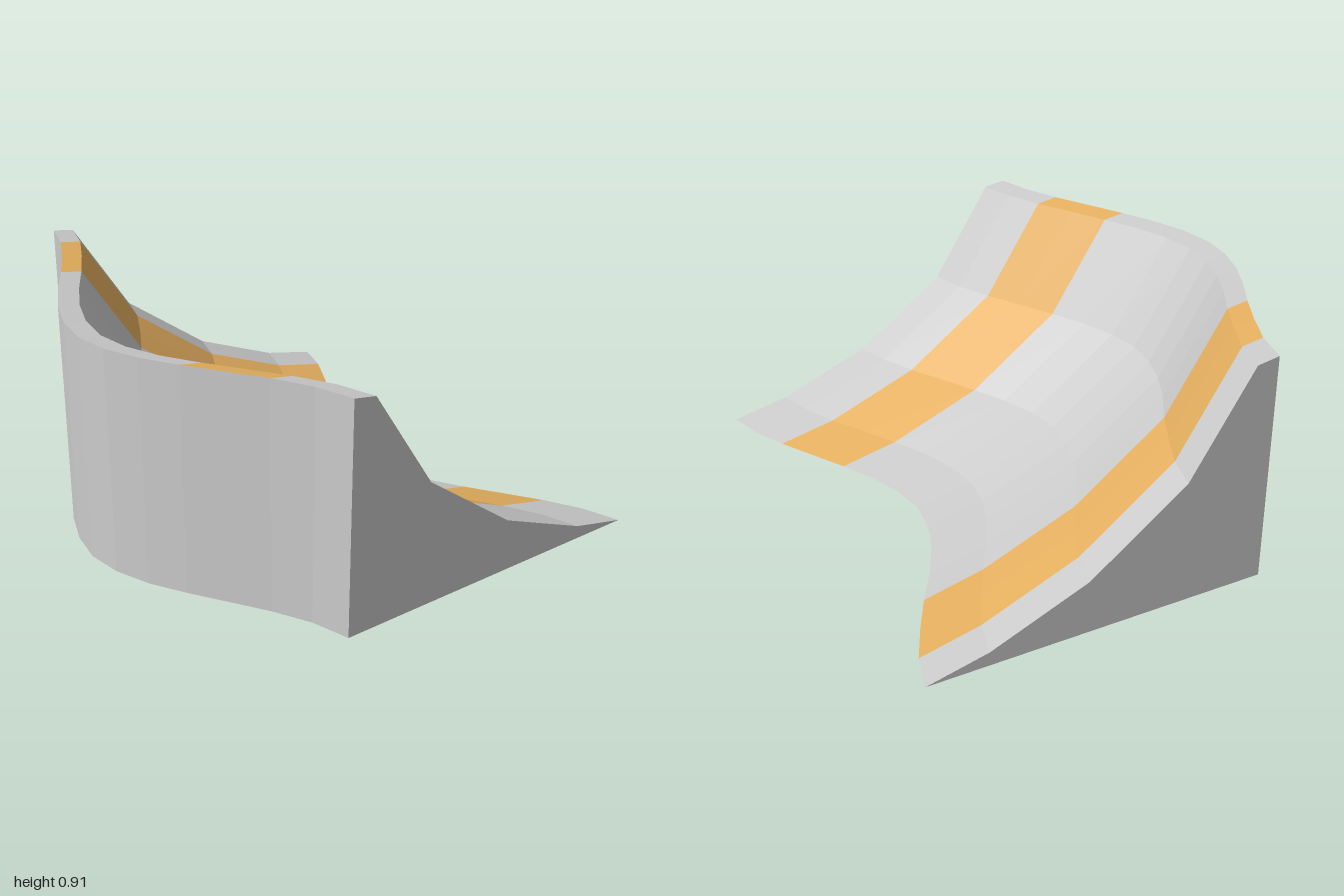
import * as THREE from 'three';

// Ramp section: [distance behind the front wall, height]
const wall = [[0, 0], [0, 0.88]];
const base = [[1.317, 0], [0, 0]];
const lip = [[0, 0.88], [0.087, 0.865]];
const slope = [[0.087, 0.865], [0.335, 0.482], [0.71, 0.207], [1.085, 0.053], [1.317, 0]];

// Sweep stations from left edge to right edge, and the front wall's z at each
const stationX = [-1, -0.855, -0.707, -0.56, -0.414, -0.268, -0.126, 0.016, 0.157, 0.298, 0.437, 0.576, 0.716, 0.857, 1];
const stationZ = [0.445, 0.487, 0.559, 0.639, 0.727, 0.802, 0.852, 0.872, 0.852, 0.8, 0.725, 0.641, 0.557, 0.487, 0.445];

// Strips carrying the coloured bands
const bandStrips = [[1, 3], [10, 12]];

// The section slides back and rises slightly towards both ends
function place(i, [d, y]) {
  const z = stationZ[i];
  return [stationX[i], y + 0.027 * (0.872 - z) / 0.427, z - d];
}

function sweep(out, line, from, to) {
  for (let i = from; i < to; i++) {
    for (let k = 0; k < line.length - 1; k++) {
      const a = place(i, line[k]), b = place(i + 1, line[k]);
      const c = place(i + 1, line[k + 1]), d = place(i, line[k + 1]);
      out.push(...a, ...b, ...c, ...a, ...c, ...d);
    }
  }
}

// End face as a fan from the lower front corner
function cap(out, i, flip) {
  const line = [...lip, ...slope.slice(1)];
  for (let k = 0; k < line.length - 1; k++) {
    const tri = [place(i, [0, 0]), place(i, line[k]), place(i, line[k + 1])];
    if (flip) tri.reverse();
    out.push(...tri.flat());
  }
}

function makeMesh(name, positions, color) {
  const geometry = new THREE.BufferGeometry();
  geometry.setAttribute('position', new THREE.Float32BufferAttribute(positions, 3));
  geometry.computeVertexNormals();
  const mesh = new THREE.Mesh(geometry, new THREE.MeshStandardMaterial({ color, flatShading: true }));
  mesh.name = name;
  return mesh;
}

export function createModel() {
  const group = new THREE.Group();
  group.name = 'curvedRamp';
  const last = stationX.length - 1;

  // Front wall, underside and end faces
  const body = [];
  sweep(body, wall, 0, last);
  sweep(body, base, 0, last);
  cap(body, 0, false);
  cap(body, last, true);
  group.add(makeMesh('rampBody', body, 0xcccccc));

  // Lip and slope, split into plain surface and bands
  const surface = [];
  let start = 0;
  bandStrips.forEach(([from, to], n) => {
    const band = [];
    for (const line of [lip, slope]) {
      sweep(surface, line, start, from);
      sweep(band, line, from, to);
    }
    group.add(makeMesh(n === 0 ? 'rightBand' : 'leftBand', band, 0xe6b060));
    start = to;
  });
  for (const line of [lip, slope]) sweep(surface, line, start, last);
  group.add(makeMesh('rampSurface', surface, 0xcccccc));

  return group;
}
